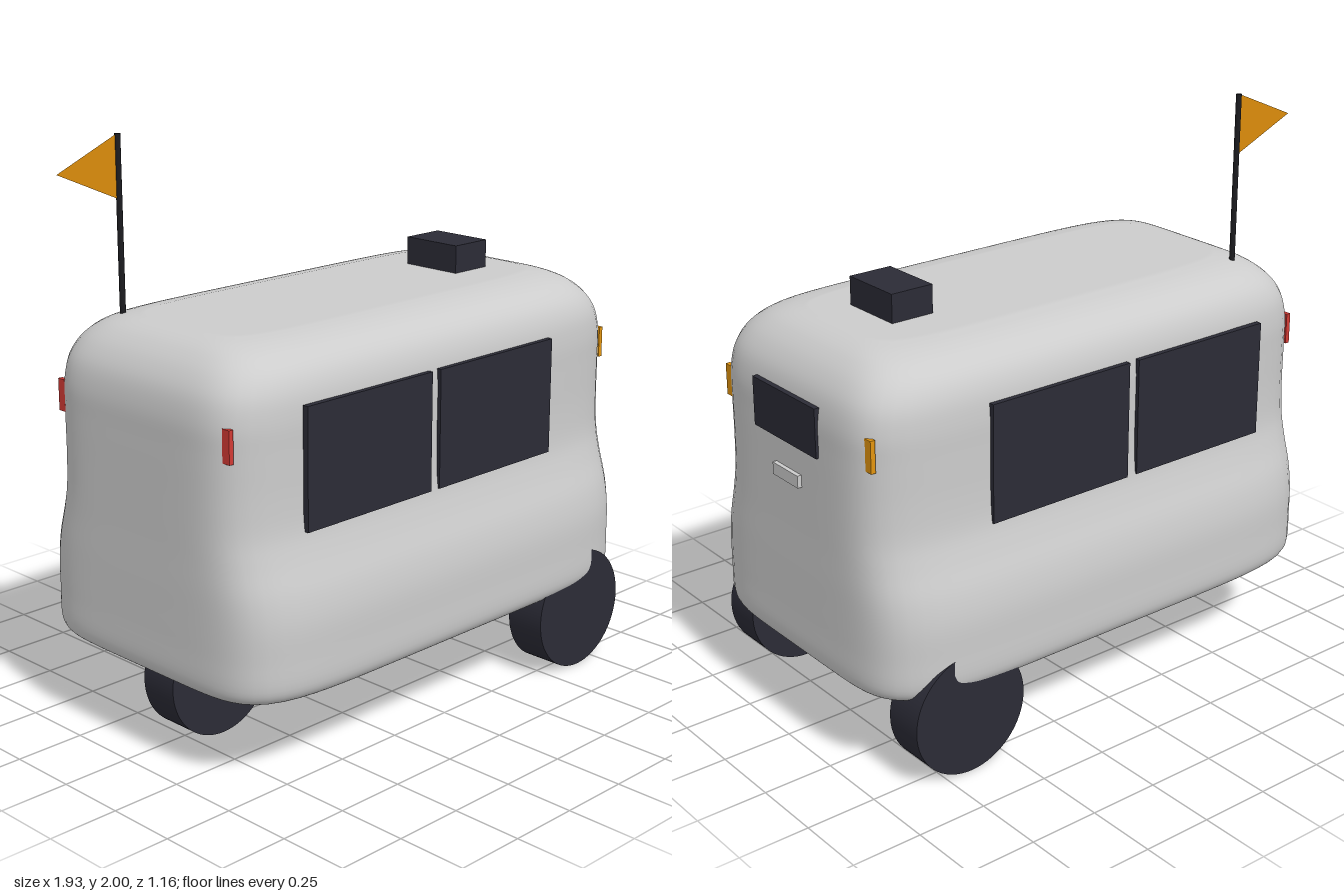
import * as THREE from 'three';

const mat = (name, color) => Object.assign(new THREE.MeshStandardMaterial({ color }), { name });

// Rounded shell: superellipse rings stacked along a smooth vertical profile
function shellGeometry(profile, cx, power, segments) {
  const curve = new THREE.CatmullRomCurve3(profile.map(([y, hx, hz]) => new THREE.Vector3(hx, y, hz)));
  const rings = curve.getPoints(72);
  rings.unshift(new THREE.Vector3(0, rings[0].y, 0));
  rings.push(new THREE.Vector3(0, rings[rings.length - 1].y, 0));
  const pos = [], idx = [];
  for (const ring of rings) {
    for (let j = 0; j < segments; j++) {
      const t = (j / segments) * Math.PI * 2, c = Math.cos(t), s = Math.sin(t);
      const r = (Math.abs(c) ** power + Math.abs(s) ** power) ** (-1 / power);
      pos.push(cx + ring.x * r * c, ring.y, ring.z * r * s);
    }
  }
  for (let i = 0; i < rings.length - 1; i++) {
    for (let j = 0; j < segments; j++) {
      const k = (j + 1) % segments;
      const a = i * segments + j, b = i * segments + k;
      idx.push(a, a + segments, b, b, a + segments, b + segments);
    }
  }
  const g = new THREE.BufferGeometry();
  g.setAttribute('position', new THREE.Float32BufferAttribute(pos, 3));
  g.setIndex(idx);
  g.computeVertexNormals();
  return g;
}

export function createModel() {
  const shell = mat('shell grey', 0xcccccc);
  const dark = mat('dark glass and rubber', 0x2b2b36);
  const black = mat('pole black', 0x1c1c20);
  const amber = mat('amber', 0xe3950f);
  const red = mat('red', 0xd23a34);
  const flagMat = mat('flag orange', 0xdb8c0c);
  flagMat.side = THREE.DoubleSide;

  const model = new THREE.Group();
  const add = (name, geometry, material, x = 0, y = 0, z = 0) => {
    const m = new THREE.Mesh(geometry, material);
    m.name = name;
    m.position.set(x, y, z);
    model.add(m);
    return m;
  };
  // Box given by its limits on each axis
  const box = (name, material, [x0, x1], [y0, y1], [z0, z1]) =>
    add(name, new THREE.BoxGeometry(x1 - x0, y1 - y0, z1 - z0), material,
      (x0 + x1) / 2, (y0 + y1) / 2, (z0 + z1) / 2);

  // Body profile: height, half length, half width
  const profile = [
    [0.287, 0.875, 0.50], [0.293, 0.905, 0.53], [0.312, 0.932, 0.56], [0.345, 0.942, 0.575],
    [0.45, 0.943, 0.578], [0.56, 0.943, 0.576], [0.65, 0.943, 0.56], [0.75, 0.942, 0.527],
    [0.835, 0.942, 0.505], [0.95, 0.942, 0.497], [1.1, 0.942, 0.497], [1.2, 0.940, 0.497],
    [1.28, 0.922, 0.487], [1.34, 0.885, 0.460], [1.385, 0.835, 0.410], [1.41, 0.785, 0.345],
    [1.423, 0.73, 0.27],
  ];
  add('body', shellGeometry(profile, 0.008, 6.5, 128), shell);

  // Side windows and corner lights, mirrored across z
  for (const s of [1, -1]) {
    const side = s > 0 ? 'left' : 'right';
    const span = (a, b) => (s > 0 ? [a, b] : [-b, -a]);
    box(`${side} rear window`, dark, [-0.66, -0.095], [0.835, 1.245], span(0.49, 0.511));
    box(`${side} front window`, dark, [-0.055, 0.515], [0.835, 1.245], span(0.49, 0.511));
    box(`${side} amber light`, amber, [0.90, 0.917], [1.09, 1.2], span(0.388, 0.42));
    box(`${side} tail light`, red, [-0.902, -0.885], [1.09, 1.2], span(0.388, 0.42));
  }

  // Windscreen and handle on the nose
  box('windscreen', dark, [0.94, 0.96], [1.07, 1.24], [-0.18, 0.18]);
  box('handle', shell, [0.94, 0.965], [0.932, 0.975], [-0.073, 0.073]);

  // Roof sensor
  box('roof sensor', dark, [0.452, 0.613], [1.40, 1.522], [-0.117, 0.117]);

  // Three wheels: a pair ahead and one behind
  const wheel = new THREE.CylinderGeometry(0.218, 0.218, 0.146, 64).rotateX(Math.PI / 2);
  add('left front wheel', wheel, dark, 0.653, 0.22, 0.49);
  add('right front wheel', wheel, dark, 0.653, 0.22, -0.49);
  add('rear wheel', wheel, dark, -0.64, 0.22, 0);

  // Pole and pennant
  add('flag pole', new THREE.CylinderGeometry(0.01, 0.01, 0.6, 12), black, -0.718, 1.7, -0.3);
  const pennant = new THREE.Shape([
    new THREE.Vector2(-0.72, 2), new THREE.Vector2(-0.965, 1.895), new THREE.Vector2(-0.72, 1.787),
  ]);
  add('flag', new THREE.ShapeGeometry(pennant), flagMat, 0, 0, -0.3);

  return model;
}
